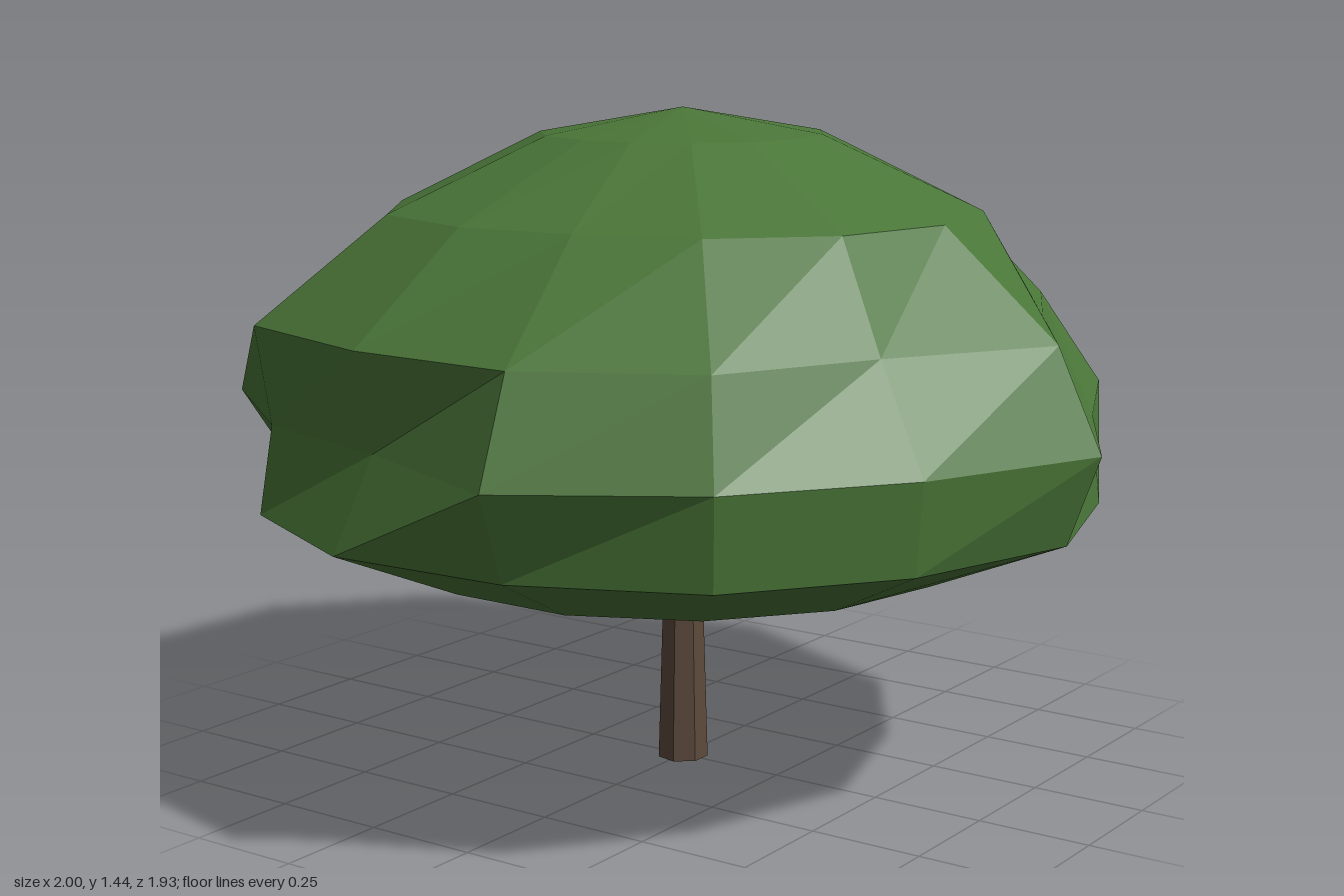
import * as THREE from 'three';

const foliage = new THREE.MeshStandardMaterial({ color: 0x4a7638, flatShading: true });
foliage.name = 'leaf green';
const bark = new THREE.MeshStandardMaterial({ color: 0x5c4a3c, flatShading: true });
bark.name = 'bark brown';

const SIDES = 14;

// Crown rings from top to bottom: height and the radius at each of 14 angles, from +x towards +z
const RINGS = [
  { y: 1.385, r: [0.29, 0.29, 0.28, 0.28, 0.28, 0.3, 0.31, 0.3, 0.31, 0.3, 0.3, 0.31, 0.31, 0.3] },
  { y: 1.23, r: [0.64, 0.63, 0.6, 0.57, 0.6, 0.64, 0.62, 0.61, 0.64, 0.64, 0.61, 0.6, 0.62, 0.64] },
  { y: 1.01, r: [0.9, 0.77, 0.85, 0.87, 0.86, 0.92, 0.85, 0.82, 0.87, 0.87, 0.87, 0.87, 0.84, 0.77] },
  { y: 0.8, r: [1, 0.92, 0.93, 0.985, 0.82, 0.89, 1, 1, 0.975, 0.97, 0.86, 0.995, 0.99, 0.88] },
  { y: 0.61, r: [0.93, 0.9, 0.91, 0.9, 0.92, 0.92, 0.87, 0.94, 0.91, 0.91, 0.9, 0.91, 0.94, 0.9] },
  { y: 0.48, r: [0.62, 0.62, 0.62, 0.62, 0.62, 0.62, 0.62, 0.63, 0.62, 0.62, 0.62, 0.62, 0.62, 0.62] },
];

function crownGeometry() {
  const pos = [0, 1.44, 0];
  for (const { y, r } of RINGS) {
    r.forEach((radius, j) => {
      const a = (j / SIDES) * Math.PI * 2;
      pos.push(Math.cos(a) * radius, y, Math.sin(a) * radius);
    });
  }
  pos.push(0, 0.44, 0);

  const bottom = 1 + RINGS.length * SIDES;
  const id = (ring, j) => 1 + ring * SIDES + (j % SIDES);
  const index = [];
  for (let j = 0; j < SIDES; j++) {
    index.push(0, id(0, j + 1), id(0, j));
    for (let i = 0; i < RINGS.length - 1; i++) {
      index.push(id(i, j), id(i, j + 1), id(i + 1, j + 1));
      index.push(id(i, j), id(i + 1, j + 1), id(i + 1, j));
    }
    const last = RINGS.length - 1;
    index.push(id(last, j), id(last, j + 1), bottom);
  }
  const indexed = new THREE.BufferGeometry();
  indexed.setAttribute('position', new THREE.Float32BufferAttribute(pos, 3));
  indexed.setIndex(index);
  const geometry = indexed.toNonIndexed();
  geometry.computeVertexNormals();
  return geometry;
}

// Tapered limb between two points
function limb(name, from, to, r0, r1, sides) {
  const dir = to.clone().sub(from);
  const mesh = new THREE.Mesh(new THREE.CylinderGeometry(r1, r0, dir.length(), sides), bark);
  mesh.name = name;
  mesh.position.copy(from).add(to).multiplyScalar(0.5);
  mesh.quaternion.setFromUnitVectors(new THREE.Vector3(0, 1, 0), dir.normalize());
  return mesh;
}

export function createModel() {
  const tree = new THREE.Group();
  tree.name = 'tree';

  const crown = new THREE.Mesh(crownGeometry(), foliage);
  crown.name = 'crown';
  tree.add(crown);

  // Seven-sided trunk with a corner towards -x
  const trunk = new THREE.Mesh(new THREE.CylinderGeometry(0.042, 0.056, 0.48, 7), bark);
  trunk.name = 'trunk';
  trunk.position.y = 0.24;
  trunk.rotation.y = -Math.PI / 2;
  tree.add(trunk);

  // Short branches spreading into the crown
  for (let i = 0; i < 4; i++) {
    const a = 0.45 + (i * Math.PI) / 2;
    const from = new THREE.Vector3(0, 0.39, 0);
    const to = new THREE.Vector3(Math.cos(a) * 0.15, 0.51, Math.sin(a) * 0.15);
    tree.add(limb('branch', from, to, 0.022, 0.014, 5));
  }
  return tree;
}
